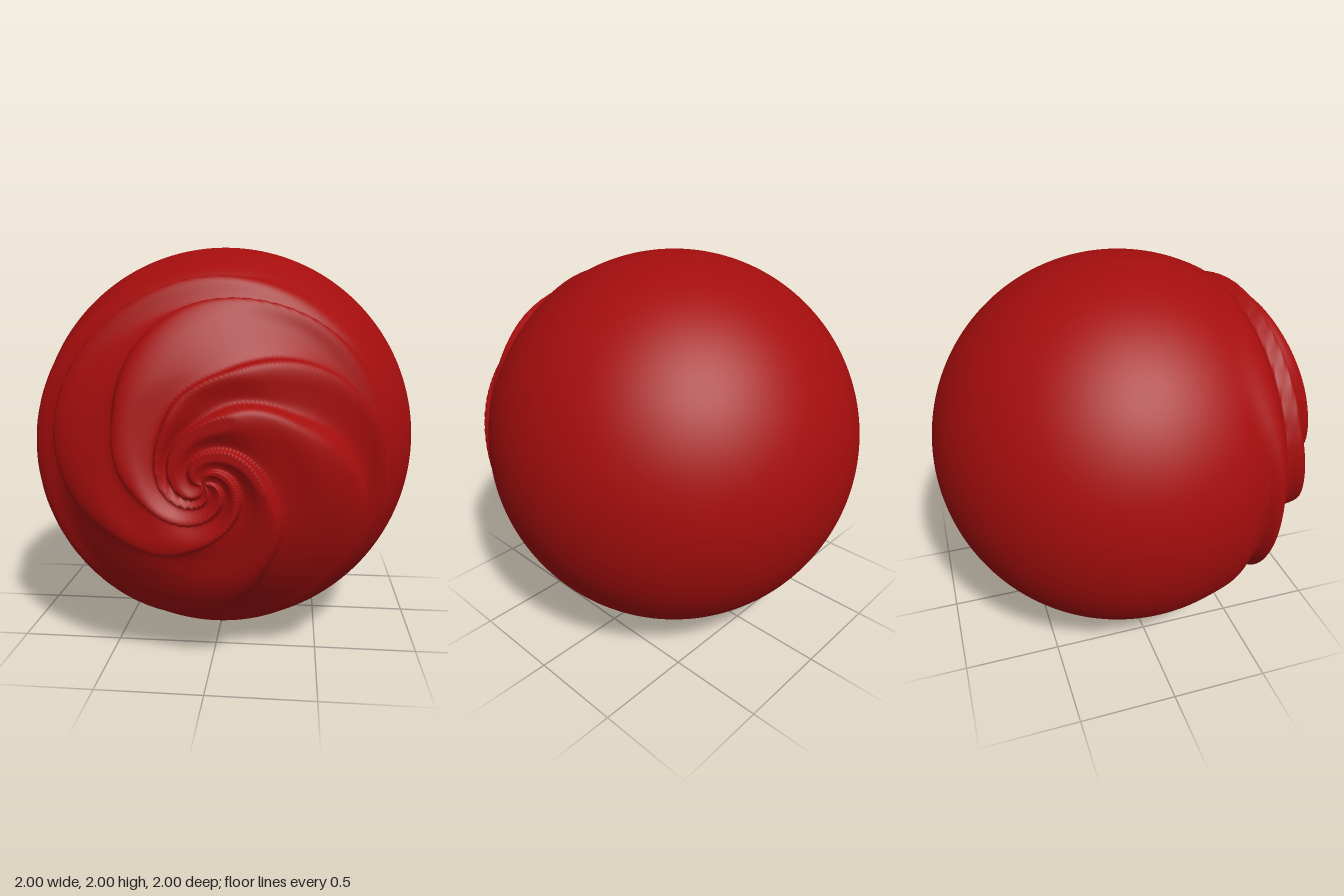
import * as THREE from 'three';
import { mergeVertices } from 'three/addons/utils/BufferGeometryUtils.js';

// Swirl twist: [distance from the swirl centre, angle of an arm in degrees]
const TWIST = [[0, 250], [0.07, 200], [0.15, 130], [0.25, 60], [0.38, 22], [0.46, 0], [0.5, -8],
  [0.68, -38], [0.75, -57], [0.82, -100], [0.9, -150], [1.1, -190]];
// Angles of the five folds, in degrees
const ARMS = [44, 86, 156, 226, 313];
// Cross-section of one fold: [position across it, height]
const FOLD = [[0, -0.022], [0.15, -0.02], [0.4, 0.0], [0.62, 0.024], [0.78, 0.036], [0.87, 0.033], [0.94, 0.008], [1, -0.022]];

const { smoothstep, lerp, radToDeg, degToRad } = THREE.MathUtils;

// Smooth interpolation through a short table (Hermite with averaged slopes)
function sample(table, x) {
  const last = table.length - 1;
  let i = 0;
  while (i < last - 1 && x > table[i + 1][0]) i++;
  const slope = (k) => {
    const a = table[Math.max(k - 1, 0)], b = table[Math.min(k + 1, last)];
    return (b[1] - a[1]) / (b[0] - a[0]);
  };
  const [x0, y0] = table[i], [x1, y1] = table[i + 1];
  const h = x1 - x0, t = Math.min((x - x0) / h, 1), t2 = t * t, t3 = t2 * t;
  return (2 * t3 - 3 * t2 + 1) * y0 + (t3 - 2 * t2 + t) * h * slope(i)
    + (3 * t2 - 2 * t3) * y1 + (t3 - t2) * h * slope(i + 1);
}

// Height of the swirl relief at a point of the unit sphere
function relief(x, y, z) {
  if (z < 0) return 0;
  const dy = y + 0.05;
  const r = Math.hypot(x, dy);
  const angle = Math.atan2(dy, x);
  const rim = 0.89 + 0.07 * Math.cos(angle - degToRad(150));
  const fade = 1 - smoothstep(r, rim - 0.1, rim + 0.02);
  if (fade === 0) return 0;

  // Find the fold this point lies in and how far across it
  let u = radToDeg(angle) - sample(TWIST, r);
  u = (((u - ARMS[0]) % 360) + 360) % 360 + ARMS[0];
  let i = ARMS.length - 1;
  while (ARMS[i] > u) i--;
  const end = i + 1 < ARMS.length ? ARMS[i + 1] : ARMS[0] + 360;
  const t = (u - ARMS[i]) / (end - ARMS[i]);

  const strength = lerp(0.1, 1, smoothstep(r, 0, 0.22));
  const dimple = -0.012 * (1 - smoothstep(r, 0, 0.15));
  return fade * (strength * sample(FOLD, t) + dimple);
}

export function createModel() {
  const red = new THREE.MeshStandardMaterial({ color: 0xa50d0d });
  red.name = 'deepRed';

  // Ball with its pole at the front and its rings closer together there
  const sphere = new THREE.SphereGeometry(1, 256, 240);
  const uv = sphere.attributes.uv, pos = sphere.attributes.position;
  for (let i = 0; i < pos.count; i++) {
    const v = 1 - uv.getY(i);
    const theta = Math.PI * Math.pow(v, 1.25);
    const phi = uv.getX(i) * Math.PI * 2;
    const s = Math.sin(theta);
    const x = -Math.cos(phi) * s, y = -Math.sin(phi) * s, z = Math.cos(theta);
    const d = 1 + relief(x, y, z);
    pos.setXYZ(i, x * d, y * d, Math.min(z * d, 1));
  }
  sphere.deleteAttribute('uv');
  sphere.deleteAttribute('normal');
  const geometry = mergeVertices(sphere, 1e-5);
  geometry.computeVertexNormals();

  const ball = new THREE.Mesh(geometry, red);
  ball.name = 'swirledBall';
  ball.position.y = 1;

  const model = new THREE.Group();
  model.name = 'swirlBall';
  model.add(ball);
  return model;
}
